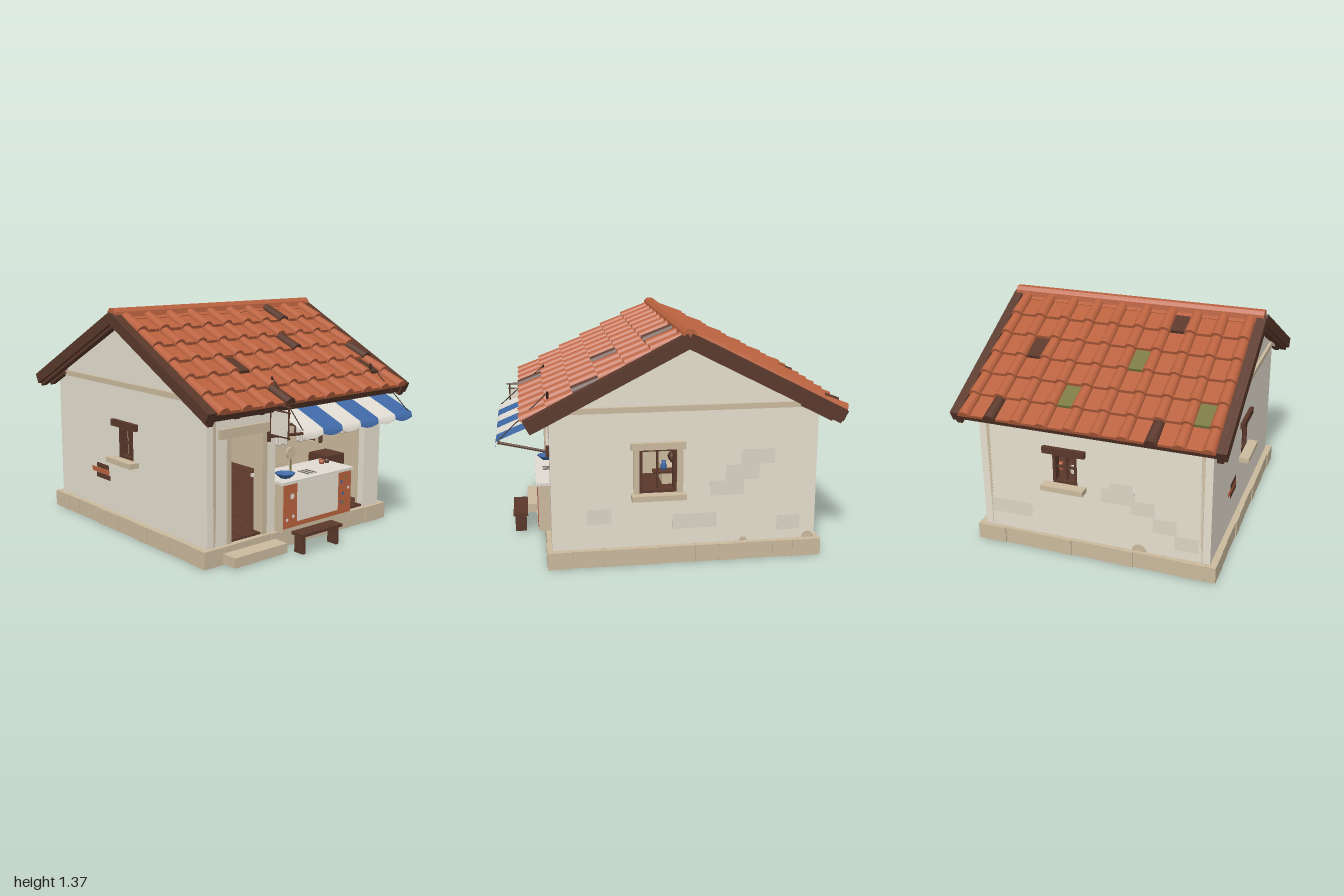
import * as THREE from 'three';

const mat = (name, color, side = THREE.FrontSide) => {
  const m = new THREE.MeshStandardMaterial({ color, side });
  m.name = name;
  return m;
};

export function createModel() {
  const root = new THREE.Group();
  root.name = 'foodStall';
  const plaster = mat('plaster', 0xe6dfd0), worn = mat('wornPlaster', 0xdcd5c6);
  const stone = mat('stone', 0xcbba9e), clay = mat('terracotta', 0xba623f);
  const wood = mat('darkWood', 0x5a382b), moss = mat('mossyTile', 0x7b7a42);
  const blue = mat('blueCloth', 0x4069a6, THREE.DoubleSide), white = mat('whiteCloth', 0xe0dcd2, THREE.DoubleSide);
  const dark = mat('rope', 0x2b1c18), metal = mat('metal', 0x77736c);

  const add = (parent, name, geo, m, x = 0, y = 0, z = 0) => {
    const mesh = new THREE.Mesh(geo, m);
    mesh.name = name;
    mesh.position.set(x, y, z);
    parent.add(mesh);
    return mesh;
  };
  const group = (name, parent = root) => {
    const g = new THREE.Group();
    g.name = name;
    parent.add(g);
    return g;
  };
  // box given by its min and max on each axis
  const box = (p, name, m, x0, x1, y0, y1, z0, z1) =>
    add(p, name, new THREE.BoxGeometry(x1 - x0, y1 - y0, z1 - z0), m, (x0 + x1) / 2, (y0 + y1) / 2, (z0 + z1) / 2);
  const rod = (p, name, m, a, b, r = 0.006) => {
    const A = new THREE.Vector3(...a), B = new THREE.Vector3(...b), d = B.clone().sub(A);
    const mesh = add(p, name, new THREE.CylinderGeometry(r, r, d.length(), 6), m);
    mesh.position.copy(A).add(B).multiplyScalar(0.5);
    mesh.quaternion.setFromUnitVectors(new THREE.Vector3(0, 1, 0), d.normalize());
  };
  const lathe = (p, name, m, pts, x, y, z) =>
    add(p, name, new THREE.LatheGeometry(pts.map(q => new THREE.Vector2(...q)), 12), m, x, y, z);
  const rect = (x0, x1, y0, y1) => [[x0, y0], [x1, y0], [x1, y1], [x0, y1]];
  const V = pts => pts.map(q => new THREE.Vector2(...q));

  // ring of foundation stones around a raised floor slab
  const base = group('foundation');
  box(base, 'floorSlab', wood, -0.7, 0.7, 0.06, 0.098, -0.83, 0.69);
  const stones = (from, to, put) => {
    const widths = [0.17, 0.12, 0.22, 0.1, 0.14, 0.21, 0.09, 0.23, 0.18, 0.14];
    const total = widths.reduce((a, b) => a + b, 0);
    let s = from;
    widths.forEach((w, i) => {
      const e = s + (w / total) * (to - from);
      put(s + 0.0006, e - 0.0006, (i % 3) * 0.003);
      s = e;
    });
  };
  for (const s of [-1, 1]) {
    stones(-0.87, 0.73, (a, b, j) => {
      const o = 0.74 - j;
      box(base, 'stone', stone, s > 0 ? 0.68 : -o, s > 0 ? o : -0.68, 0, 0.1, a, b);
    });
    stones(-0.68, 0.68, (a, b, j) => box(base, 'stone', stone, a, b, 0, 0.1,
      s > 0 ? 0.67 : -0.87 + j, s > 0 ? 0.73 - j : -0.81));
  }
  box(base, 'step', stone, -0.61, -0.22, 0.008, 0.065, 0.73, 0.83);
  for (let i = 0; i < 12; i++)
    box(base, 'floorPlank', wood, -0.64 + i * 0.1067, -0.54 + i * 0.1067, 0.1, 0.112, -0.78, 0.69);

  // walls: plaster outside, stone-coloured lining inside
  const walls = group('walls');
  const panel = (name, outline, hole, place) => [[plaster, 0, 0.045], [stone, 0.045, 0.02]].forEach(([m, off, depth]) => {
    const s = new THREE.Shape(V(outline));
    if (hole) s.holes.push(new THREE.Path(V(hole)));
    const g = new THREE.ExtrudeGeometry(s, { depth, bevelEnabled: false });
    place(add(walls, name, g, m), off, depth);
  });
  const gable = [[-0.84, 0.1], [0.7, 0.1], [0.7, 0.885], [-0.07, 1.275], [-0.84, 0.885]];
  panel('leftWall', gable, rect(-0.015, 0.2, 0.42, 0.68), (m, o) => { m.rotation.y = -Math.PI / 2; m.position.x = 0.7 - o; });
  panel('rightWall', gable, rect(-0.145, 0.005, 0.46, 0.65), (m, o, d) => { m.rotation.y = -Math.PI / 2; m.position.x = -0.7 + o + d; });
  panel('backWall', rect(-0.655, 0.655, 0.1, 0.885), rect(0.095, 0.245, 0.46, 0.65), (m, o) => { m.position.z = -0.84 + o; });
  panel('frontWall', [[-0.655, 0.1], [-0.56, 0.1], [-0.56, 0.72], [-0.27, 0.72], [-0.27, 0.1], [-0.2, 0.1], [-0.2, 0.72],
    [0.56, 0.72], [0.56, 0.1], [0.655, 0.1], [0.655, 0.885], [-0.655, 0.885]], null, (m, o, d) => { m.position.z = 0.7 - o - d; });
  for (const s of [-1, 1]) add(walls, 'gableBand', new THREE.BoxGeometry(0.03, 0.032, 1.37), stone, s * 0.703, 0.912, -0.07);
  box(walls, 'doorLintel', stone, -0.62, -0.21, 0.7, 0.755, 0.63, 0.72);
  box(walls, 'doorJamb', stone, -0.56, -0.53, 0.1, 0.7, 0.63, 0.705);
  box(walls, 'doorJamb', stone, -0.3, -0.265, 0.1, 0.7, 0.63, 0.705);

  // faint worn patches, base stains and bare brick on the plaster
  for (let i = 0; i < 10; i++) {
    const z = -0.68 + ((i * 0.37) % 1.2), y = 0.2 + ((i * 0.23) % 0.6), w = 0.14 + (i % 3) * 0.06;
    if (y < 0.34 || y > 0.76 || z > 0.36 || z < -0.2) add(walls, 'wornPatch', new THREE.BoxGeometry(0.004, 0.09, w), worn, 0.699, y, z);
    const x = -0.56 + ((i * 0.41) % 1.1);
    if (y < 0.36 || x < -0.1) add(walls, 'wornPatch', new THREE.BoxGeometry(w, 0.09, 0.004), worn, x, y, -0.839);
  }
  const stain = r => new THREE.CircleGeometry(r, 10, 0, Math.PI);
  add(walls, 'stain', stain(0.038), stone, 0.702, 0.1, -0.8).rotation.y = Math.PI / 2;
  add(walls, 'stain', stain(0.025), stone, 0.702, 0.1, -0.41).rotation.y = Math.PI / 2;
  add(walls, 'stain', stain(0.045), stone, -0.28, 0.1, -0.842).rotation.y = Math.PI;
  [[0, 0.02, 0.15], [1, -0.01, 0.19], [2, 0.015, 0.13]].forEach(([i, dz, w]) =>
    add(walls, 'bareBrick', new THREE.BoxGeometry(0.006, 0.03, w), i === 1 ? clay : wood, -0.7, 0.3 + i * 0.032, -0.35 + dz));

  // windows, built facing +z
  const windowUnit = (name, w, y0, y1, stoneFrame, x, z, turn) => {
    const g = group(name);
    g.position.set(x, 0, z);
    g.rotation.y = turn;
    const h = w / 2;
    for (const s of [-1, 1]) {
      add(g, 'sidePost', new THREE.BoxGeometry(0.018, y1 - y0, 0.05), wood, s * (h - 0.009), (y0 + y1) / 2, -0.025);
      if (stoneFrame) add(g, 'stoneJamb', new THREE.BoxGeometry(0.035, y1 - y0, 0.03), stone, s * (h + 0.0175), (y0 + y1) / 2, 0);
    }
    for (const y of [y0 + 0.008, y1 - 0.008]) box(g, 'rail', wood, -h, h, y - 0.008, y + 0.008, -0.045, 0);
    box(g, 'mullion', wood, -0.006, 0.006, y0, y1, -0.035, -0.02);
    if (!stoneFrame) box(g, 'crossBar', wood, -h, h, (y0 + y1) / 2 - 0.006, (y0 + y1) / 2 + 0.006, -0.035, -0.02);
    const e = h + (stoneFrame ? 0.048 : 0.055);
    box(g, 'lintel', stoneFrame ? stone : wood, -e, e, y1, y1 + 0.04, -0.03, stoneFrame ? 0.03 : 0.024);
    box(g, 'sill', stone, -e, e, y0 - 0.032, y0, -0.03, 0.062);
  };
  windowUnit('leftWindow', 0.215, 0.42, 0.68, true, 0.7, 0.0925, Math.PI / 2);
  windowUnit('rightWindow', 0.15, 0.46, 0.65, false, -0.7, -0.07, -Math.PI / 2);
  windowUnit('backWindow', 0.15, 0.46, 0.65, false, 0.17, -0.84, Math.PI);

  // roof: two sloping halves, local z runs down the slope
  const slope = Math.atan(0.465 / 0.91), L = 0.895 / Math.cos(slope), course = 0.162;
  const pan = new THREE.BoxGeometry(0.156, 0.018, course + 0.012);
  const barrel = new THREE.CylinderGeometry(0.037, 0.031, course + 0.025, 10, 1, false, Math.PI / 2, Math.PI).rotateX(Math.PI / 2);
  // odd tiles keyed by half, kind, column and course (0 is at the eave)
  const odd = { 'b p7 3': wood, 'b p2 5': wood, 'b p0 1': moss, 'b p5 1': moss, 'b p3 3': moss, 'b c2 0': wood, 'b c8 0': wood,
    'f p2 2': wood, 'f p8 1': wood, 'f c7 5': wood, 'f c6 3': wood, 'f c9 2': wood, 'f c3 0': wood };
  for (const side of ['f', 'b']) {
    const g = group(side === 'f' ? 'frontRoof' : 'backRoof'), flip = side === 'f' ? 1 : -1;
    g.position.set(0, 1.31, -0.07);
    g.rotation.set(slope, side === 'f' ? 0 : Math.PI, 0, 'YXZ');
    box(g, 'deck', wood, -0.76, 0.76, -0.022, 0, 0, L - 0.01);
    box(g, 'fascia', wood, -0.78, 0.78, -0.032, 0.008, L - 0.03, L - 0.008);
    for (const s of [-1, 1]) {
      add(g, 'rakeBoard', new THREE.BoxGeometry(0.036, 0.085, L + 0.008), wood, s * 0.761, -0.008, L / 2);
      add(g, 'rakeCap', new THREE.BoxGeometry(0.022, 0.065, L + 0.004), wood, s * 0.789, 0, L / 2);
    }
    for (let i = 0; i < 9; i++) box(g, 'rafterTail', wood, -0.74 + i * 0.18, -0.705 + i * 0.18, -0.062, -0.02, L - 0.24, L - 0.035);
    for (let r = 0; r < 6; r++) {
      const z = L - course * (r + 0.5);
      for (let k = 0; k < 10; k++) {
        const x = flip * (-0.7065 + k * 0.157);
        add(g, 'barrelTile', barrel, odd[`${side} c${k} ${r}`] || clay, x, 0.023, z + 0.005).rotation.x = -0.08;
        if (k < 9) add(g, 'panTile', pan, odd[`${side} p${k} ${r}`] || clay, x + flip * 0.0785, 0.016, z).rotation.x = -0.12;
      }
    }
    box(g, 'topTile', clay, -0.74, 0.74, 0.002, 0.022, 0.01, 0.06);
  }
  const ridge = new THREE.Shape(V([[-0.042, 1.3], [0.042, 1.3], [0.036, 1.345], [0.018, 1.365], [-0.018, 1.365], [-0.036, 1.345]]));
  const ridgeGeo = new THREE.ExtrudeGeometry(ridge, { depth: 1.57, bevelEnabled: false }).rotateY(Math.PI / 2);
  add(root, 'ridgeCap', ridgeGeo, clay, -0.785, 0, -0.07);

  // striped awning with a scalloped hem
  const awning = group('awning');
  const profile = [[0.858, 0.7], [0.82, 0.8], [0.78, 0.9], [0.742, 0.99], [0.712, 0.997]];
  for (let i = 0; i < 6; i++) {
    const g = new THREE.PlaneGeometry(0.152, 1, 6, 4), p = g.attributes.position;
    for (let v = 0; v < p.count; v++) {
      const row = Math.floor(v / 7), u = (v % 7) / 6;
      const sag = row === 4 ? 0.016 * Math.sin(u * Math.PI) : 0;
      p.setY(v, profile[row][0] - sag);
      p.setZ(v, profile[row][1]);
    }
    g.computeVertexNormals();
    add(awning, 'stripe', g, i % 2 ? blue : white, -0.194 + i * 0.152);
  }
  rod(awning, 'frontPole', wood, [-0.272, 0.73, 0.978], [0.642, 0.73, 0.978], 0.006);
  for (const x of [-0.26, 0.625]) {
    const top = x + (x < 0 ? 0.03 : -0.03);
    rod(awning, 'strut', wood, [x, 0.665, 0.7], [x, 0.732, 0.982], 0.008);
    rod(awning, 'rope', dark, [x, 0.74, 0.985], [top, 1, 0.7], 0.003);
    rod(awning, 'hook', dark, [top, 0.92, 0.7], [top, 1.005, 0.7], 0.006);
    box(awning, 'bracket', wood, x - 0.009, x + 0.009, 0.64, 0.7, 0.695, 0.72);
  }

  // framed hanging board beside the awning
  const sign = group('hangingBoard');
  rod(sign, 'arm', wood, [-0.31, 0.87, 0.7], [-0.31, 0.87, 0.94], 0.006);
  for (const z of [0.78, 0.92]) rod(sign, 'sideRail', wood, [-0.31, 0.69, z], [-0.31, 0.87, z], 0.005);
  for (const y of [0.7, 0.84]) rod(sign, 'crossRail', wood, [-0.31, y, 0.77], [-0.31, y, 0.93], 0.005);
  box(sign, 'board', plaster, -0.312, -0.308, 0.7, 0.84, 0.78, 0.92);

  // counter with painted front
  const counter = group('counter');
  box(counter, 'body', stone, -0.2, 0.37, 0.1, 0.385, 0.52, 0.766);
  box(counter, 'frontTiles', clay, -0.195, 0.365, 0.125, 0.383, 0.766, 0.771);
  box(counter, 'frontPanel', plaster, -0.09, 0.25, 0.155, 0.383, 0.771, 0.775);
  box(counter, 'top', white, -0.21, 0.38, 0.385, 0.402, 0.5, 0.778);
  [[-0.13, 0.31, 0.02, white], [-0.12, 0.19, 0.012, white], [-0.17, 0.175, 0.012, white], [0.28, 0.325, 0.012, blue], [0.295, 0.25, 0.012, blue],
    [0.315, 0.345, 0.011, moss], [0.3, 0.19, 0.011, moss], [0.34, 0.28, 0.012, white], [0.28, 0.2, 0.009, blue]].forEach(([x, y, r, m]) =>
    add(counter, 'mosaicChip', new THREE.CircleGeometry(r, 5), m, x, y, 0.7725));
  lathe(counter, 'bowl', blue, [[0, 0.002], [0.03, 0.003], [0.06, 0.03], [0.055, 0.03], [0.028, 0.01], [0, 0.009]], -0.12, 0.402, 0.7);
  for (let i = 0; i < 3; i++) box(counter, 'knife', metal, 0.04 + i * 0.03, 0.05 + i * 0.03, 0.402, 0.406, 0.64, 0.73);
  rod(counter, 'scaleStem', moss, [0.02, 0.402, 0.6], [0.02, 0.48, 0.6], 0.005);
  add(counter, 'scaleDial', new THREE.CylinderGeometry(0.036, 0.036, 0.012, 20), stone, 0.02, 0.512, 0.6).rotation.x = Math.PI / 2;
  const jarShape = [[0, 0], [0.014, 0], [0.02, 0.02], [0.012, 0.04], [0.017, 0.052], [0, 0.052]];
  for (const x of [0.285, 0.33]) lathe(counter, 'pot', x < 0.3 ? clay : wood, [[0, 0], [0.014, 0], [0.019, 0.025], [0, 0.025]], x, 0.402, 0.6);

  // bench
  const bench = group('bench');
  box(bench, 'seat', wood, -0.19, 0.135, 0.112, 0.13, 0.83, 0.92);
  for (const x of [-0.165, 0.105]) box(bench, 'leg', wood, x - 0.01, x + 0.01, 0.008, 0.112, 0.84, 0.91);

  // shelves on the back wall with crockery
  const shelves = group('shelves');
  for (const x of [-0.185, 0.34]) box(shelves, 'post', wood, x - 0.008, x + 0.008, 0.11, 0.61, -0.76, -0.68);
  for (const y of [0.45, 0.59]) box(shelves, 'board', wood, -0.19, 0.345, y, y + 0.012, -0.77, -0.66);
  for (const x of [-0.11, 0.08, 0.26]) lathe(shelves, 'jar', clay, jarShape, x, 0.462, -0.7);
  for (const x of [-0.02, 0.17]) add(shelves, 'cup', new THREE.CylinderGeometry(0.03, 0.024, 0.035, 10), white, x, 0.48, -0.7);
  for (const x of [-0.02, 0.22]) add(shelves, 'cup', new THREE.CylinderGeometry(0.03, 0.024, 0.035, 10), white, x, 0.62, -0.7);
  box(shelves, 'sideBoard', wood, 0.57, 0.64, 0.512, 0.524, -0.02, 0.11);
  lathe(shelves, 'blueJar', blue, jarShape, 0.6, 0.524, 0.045);

  // goods hanging over the counter
  const hanging = group('hangingGoods');
  rod(hanging, 'rail', wood, [-0.2, 0.71, 0.62], [0.56, 0.71, 0.62], 0.006);
  for (const x of [-0.08, 0.095, 0.45]) for (let i = 0; i < 4; i++)
    add(hanging, 'clothStrip', new THREE.CapsuleGeometry(0.0125, 0.09, 3, 8), plaster, x - 0.035 + i * 0.023, 0.635 - (i % 2) * 0.008, 0.62);
  add(hanging, 'sausage', new THREE.CapsuleGeometry(0.012, 0.13, 3, 8), wood, 0.27, 0.61, 0.6);

  // cabinet and funnel beside the counter, block with barrel by the door
  const store = group('storage');
  box(store, 'cabinet', wood, 0.375, 0.53, 0.185, 0.425, 0.4, 0.56);
  add(store, 'funnel', new THREE.ConeGeometry(0.048, 0.07, 10), wood, 0.455, 0.15, 0.48).rotation.x = Math.PI;
  for (const x of [0.385, 0.52]) for (const z of [0.41, 0.55]) box(store, 'leg', wood, x - 0.008, x + 0.008, 0.11, 0.185, z - 0.008, z + 0.008);
  add(store, 'tallPot', new THREE.CylinderGeometry(0.035, 0.028, 0.18, 12), clay, 0.517, 0.24, 0.33);
  box(store, 'block', stone, -0.54, -0.37, 0.112, 0.235, -0.3, -0.1);
  const keg = [[0, -0.052], [0.033, -0.052], [0.038, -0.02], [0.038, 0.02], [0.033, 0.052], [0, 0.052]];
  lathe(store, 'barrel', wood, keg, -0.482, 0.274, -0.2).rotation.z = Math.PI / 2;
  for (const x of [-0.507, -0.457]) add(store, 'hoop', new THREE.TorusGeometry(0.037, 0.003, 6, 16), dark, x, 0.274, -0.2).rotation.y = Math.PI / 2;

  return root;
}
